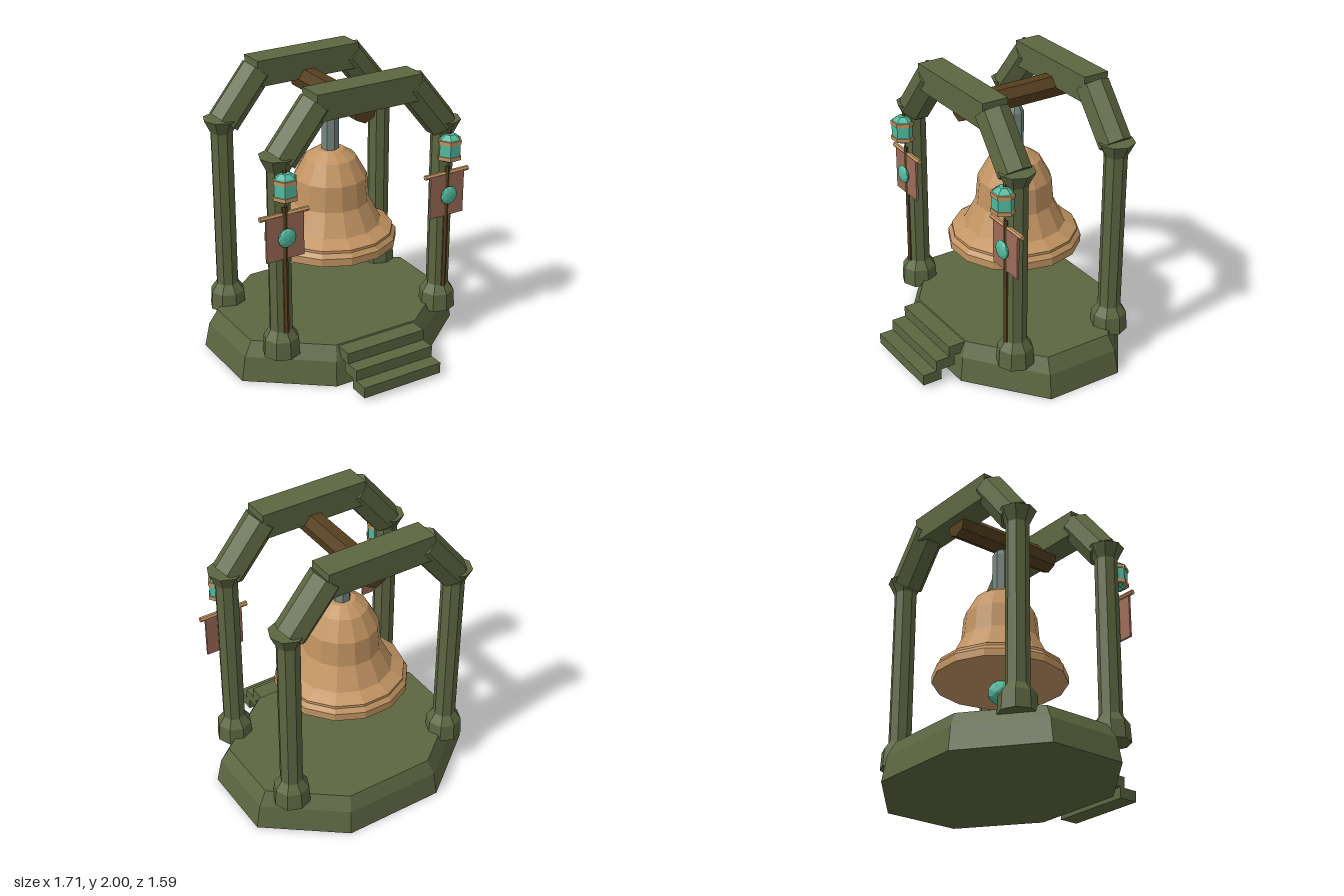
import * as THREE from 'three';

const mat = (name, color) => {
  const m = new THREE.MeshStandardMaterial({ color });
  m.name = name;
  return m;
};

export function createModel() {
  const root = new THREE.Group();
  root.name = 'bellShrine';

  const green = mat('mossGreen', 0x5c6641);
  const bronze = mat('bronze', 0xc29462);
  const wood = mat('darkWood', 0x553f1f);
  const jade = mat('jade', 0x52bb9f);
  const cloth = mat('bannerCloth', 0x9d6c58);
  const iron = mat('greyIron', 0x76867f);

  // Adds a faceted mesh
  function add(parent, name, geometry, material, x = 0, y = 0, z = 0) {
    const g = geometry.index ? geometry.toNonIndexed() : geometry;
    g.computeVertexNormals();
    const mesh = new THREE.Mesh(g, material);
    mesh.name = name;
    mesh.position.set(x, y, z);
    parent.add(mesh);
    return mesh;
  }
  // Solid of revolution from [radius, height] pairs, closed at both ends
  function turned(profile, sides, start = 0) {
    const pts = profile.map(([r, y]) => new THREE.Vector2(r, y));
    pts.unshift(new THREE.Vector2(0, profile[0][1]));
    pts.push(new THREE.Vector2(0, profile[profile.length - 1][1]));
    return new THREE.LatheGeometry(pts, sides, start);
  }
  const box = (w, h, d) => new THREE.BoxGeometry(w, h, d);

  // Octagonal plinth, stretched in x
  const c = Math.cos(Math.PI / 8);
  const plinth = turned([[0.665 / c, 0], [0.64 / c, 0.17], [0.595 / c, 0.27]], 8, Math.PI / 8);
  plinth.scale(0.855 / 0.665, 1, 1);
  add(root, 'plinth', plinth, green, 0, 0, -0.125);

  // Overlapping front steps
  for (let i = 0; i < 3; i++) {
    add(root, 'step', box(0.6, 0.077, 0.14), green, 0, 0.222 - i * 0.077, 0.525 + i * 0.101);
  }

  // Two arches: columns, slanted braces and a lintel
  const columnProfile = [[0.128, 0.225], [0.12, 0.35], [0.078, 0.41], [0.078, 1.53], [0.125, 1.625]];
  const tilt = Math.atan2(0.26, 0.32);
  for (const z of [0.285, -0.48]) {
    const arch = new THREE.Group();
    arch.name = z > 0 ? 'frontArch' : 'backArch';
    arch.position.z = z;
    root.add(arch);
    add(arch, 'lintel', box(0.78, 0.18, 0.185), green, 0, 1.91, 0);
    for (const turn of [0, Math.PI]) {
      const half = new THREE.Group();
      half.name = turn ? 'leftSide' : 'rightSide';
      half.rotation.y = turn;
      arch.add(half);
      add(half, 'column', turned(columnProfile, 8), green, -0.625, 0, 0);
      const brace = new THREE.CylinderGeometry(0.113, 0.113, 0.412, 7);
      brace.rotateY(-Math.PI / 2).rotateZ(-tilt);
      add(half, 'brace', brace, green, -0.48, 1.757, 0);
    }
  }

  // Seven-sided beam carrying the bell
  const beam = new THREE.CylinderGeometry(0.086, 0.086, 0.82, 7).rotateX(Math.PI / 2);
  add(root, 'crossBeam', beam, wood, 0, 1.804, -0.0975);

  // Bell, hanger and clapper
  const bell = new THREE.Group();
  bell.name = 'bell';
  bell.position.z = -0.12;
  root.add(bell);
  add(bell, 'hanger', turned([[0.06, 1.38], [0.06, 1.69], [0.035, 1.74]], 7), iron);
  add(bell, 'bellBody', turned([
    [0.455, 0.737], [0.455, 0.79], [0.43, 0.82], [0.43, 0.838], [0.345, 0.885],
    [0.265, 1.04], [0.25, 1.215], [0.175, 1.35], [0.09, 1.406],
  ], 14, Math.PI / 2), bronze);
  add(bell, 'clapper', new THREE.IcosahedronGeometry(0.083, 1), jade, 0, 0.67, 0);

  // Banner and lantern on each front column
  for (const x of [-0.625, 0.625]) {
    const post = new THREE.Group();
    post.name = x > 0 ? 'leftBannerPost' : 'rightBannerPost';
    post.position.x = x;
    root.add(post);
    add(post, 'pole', new THREE.CylinderGeometry(0.02, 0.02, 0.9, 6), wood, 0, 0.855, 0.355);
    const rod = new THREE.CylinderGeometry(0.017, 0.017, 0.35, 6).rotateZ(Math.PI / 2);
    add(post, 'bannerRod', rod, bronze, 0, 1.252, 0.352);
    add(post, 'banner', box(0.272, 0.3, 0.016), cloth, 0, 1.095, 0.358);
    const disc = new THREE.IcosahedronGeometry(0.066, 1).scale(1, 1, 0.38);
    add(post, 'bannerEmblem', disc, jade, 0, 1.1, 0.388);

    const lantern = new THREE.Group();
    lantern.name = 'lantern';
    lantern.position.z = 0.375;
    post.add(lantern);
    add(lantern, 'lanternGlass', turned(
      [[0.045, 1.35], [0.078, 1.385], [0.08, 1.49], [0.07, 1.515], [0.035, 1.54]], 6, Math.PI / 6), jade);
    for (const y of [1.383, 1.493]) {
      add(lantern, 'lanternRim', new THREE.CylinderGeometry(0.086, 0.086, 0.026, 6, 1, false, Math.PI / 6), bronze, 0, y, 0);
    }
    add(lantern, 'lanternHook', new THREE.CylinderGeometry(0.014, 0.018, 0.07, 6), wood, 0, 1.56, -0.01);
  }

  return root;
}
